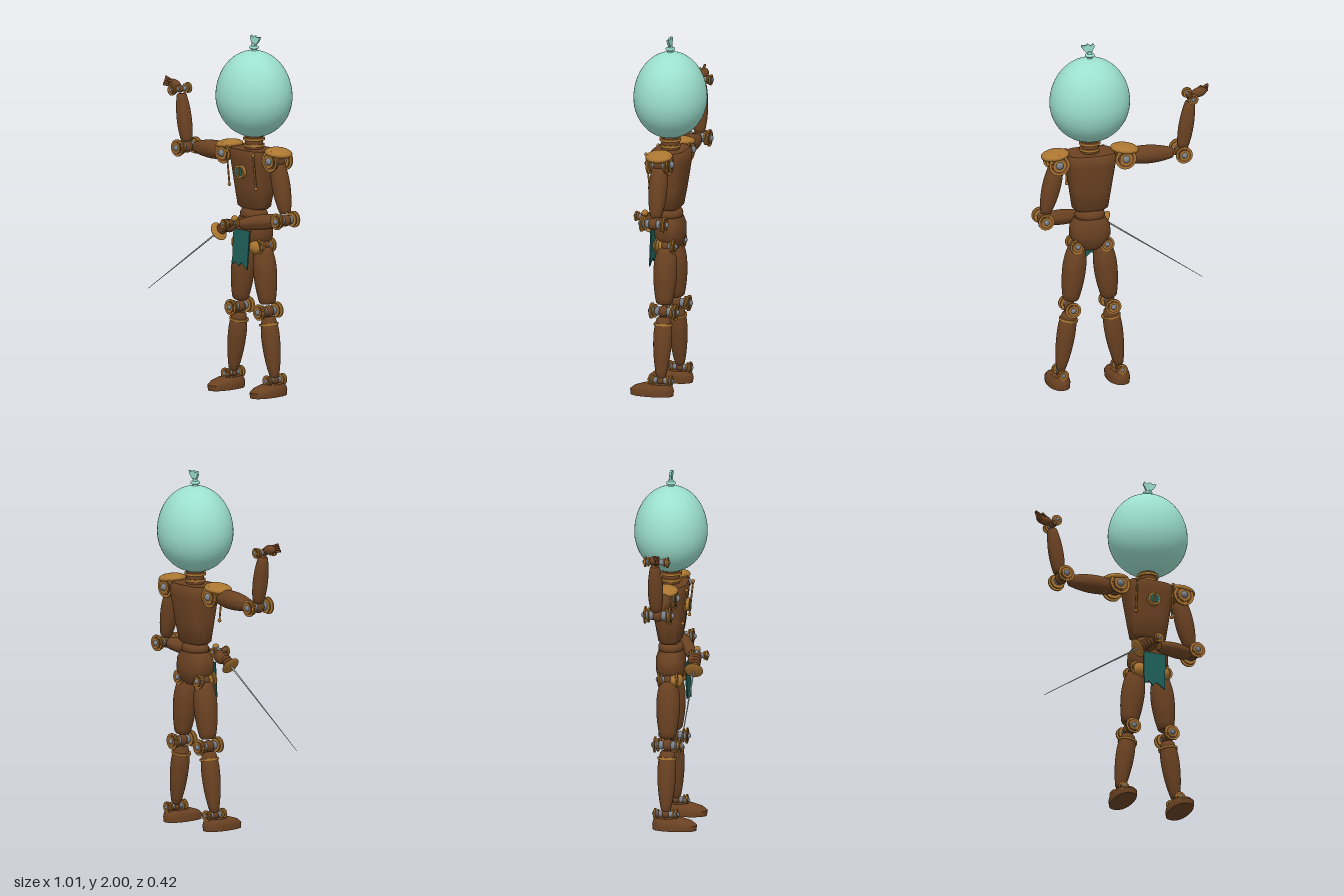
import * as THREE from 'three';
import { toCreasedNormals } from 'three/addons/utils/BufferGeometryUtils.js';

const mat = (name, color) => {
  const m = new THREE.MeshStandardMaterial({ color });
  m.name = name;
  return m;
};
const V = (x, y, z) => new THREE.Vector3(x, y, z);
const UP = V(0, 1, 0);
const CX = 0.19, CZ = -0.01; // body axis

export function createModel() {
  const root = new THREE.Group();
  root.name = 'balloonHeadedPuppet';
  const wood = mat('wood', 0x6b4222), brass = mat('brass', 0xab7631), steel = mat('steel', 0x7b818c);
  const rubber = mat('balloonMint', 0x9ce0ce), cloth = mat('tealCloth', 0x1f5f58), blade = mat('bladeSteel', 0xa9b3b3);
  cloth.side = THREE.DoubleSide;

  const add = (name, geo, material, x = 0, y = 0, z = 0, parent = root) => {
    const m = new THREE.Mesh(geo, material);
    m.name = name;
    m.position.set(x, y, z);
    parent.add(m);
    return m;
  };
  const ball = (name, material, x, y, z, rx, ry = rx, rz = rx) => {
    const m = add(name, new THREE.SphereGeometry(1, 28, 18), material, x, y, z);
    m.scale.set(rx, ry, rz);
    return m;
  };
  // cylinder between two points
  const rod = (name, material, a, b, r0, r1 = r0, parent = root) => {
    const d = b.clone().sub(a), c = a.clone().add(b).multiplyScalar(0.5);
    const m = add(name, new THREE.CylinderGeometry(r1, r0, d.length(), 24), material, c.x, c.y, c.z, parent);
    m.quaternion.setFromUnitVectors(UP, d.normalize());
    return m;
  };
  // swollen wooden limb between two points
  const limb = (name, a, b, r0, rm, r1, peak = 0.4) => {
    const d = b.clone().sub(a), len = d.length(), pts = [new THREE.Vector2(0, 0), new THREE.Vector2(r0 * 0.85, 0)];
    for (let i = 0; i <= 12; i++) {
      const t = 0.03 + 0.94 * i / 12;
      const k = t < peak ? (peak - t) / peak : (t - peak) / (1 - peak);
      pts.push(new THREE.Vector2(rm + ((t < peak ? r0 : r1) - rm) * k * k, t * len));
    }
    pts.push(new THREE.Vector2(r1 * 0.85, len), new THREE.Vector2(0, len));
    const geo = toCreasedNormals(new THREE.LatheGeometry(pts, 28), 0.7);
    add(name, geo, wood, a.x, a.y, a.z).quaternion.setFromUnitVectors(UP, d.normalize());
  };
  // solid through squarish rings: [y, cx, cz, rx, rz]
  const loft = (name, rings, power, material) => {
    const N = 40, pos = [], idx = [], sp = (v) => Math.sign(v) * Math.pow(Math.abs(v), 2 / power);
    rings.forEach(([y, cx, cz, rx, rz]) => {
      for (let i = 0; i < N; i++) {
        const a = i / N * Math.PI * 2;
        pos.push(cx + rx * sp(Math.cos(a)), y, cz + rz * sp(Math.sin(a)));
      }
    });
    const L = rings.length, first = rings[0], last = rings[L - 1], c = L * N;
    pos.push(first[1], first[0], first[2], last[1], last[0], last[2]);
    for (let i = 0; i < N; i++) {
      const j = (i + 1) % N, t = (L - 1) * N;
      for (let k = 0; k < L - 1; k++) {
        const p = k * N, q = p + N;
        idx.push(p + i, q + i, p + j, p + j, q + i, q + j);
      }
      idx.push(c, i, j, c + 1, t + j, t + i);
    }
    const g = new THREE.BufferGeometry();
    g.setAttribute('position', new THREE.Float32BufferAttribute(pos, 3));
    g.setIndex(idx);
    return add(name, toCreasedNormals(g, 0.75), material);
  };
  // pinned hinge with its axle along z
  const joint = (name, x, y, r, reach = 0.07, z = CZ) => {
    const g = new THREE.Group();
    g.name = name;
    g.position.set(x, y, z);
    root.add(g);
    const disc = (part, m, rad, z0, z1) => rod(part, m, V(0, 0, z0), V(0, 0, z1), rad, rad, g);
    disc('axle', steel, r * 0.46, -reach - 0.005, reach + 0.005);
    add('core', new THREE.SphereGeometry(r * 0.72, 20, 14), wood, 0, 0, 0, g);
    for (const s of [-1, 1]) {
      disc('outerPlate', brass, r, s * reach - 0.004, s * reach + 0.004);
      disc('innerPlate', brass, r * 0.85, s * reach * 0.72 - 0.004, s * reach * 0.72 + 0.004);
      disc('washer', wood, r * 0.78, s * (reach + 0.001), s * (reach + 0.006));
      disc('collar', brass, r * 0.6, s * (reach + 0.002), s * (reach + 0.009));
      add('boss', new THREE.SphereGeometry(r * 0.36, 16, 10), steel, 0, 0, s * (reach + 0.006), g);
      add('knuckle', new THREE.SphereGeometry(r * 0.56, 16, 12), steel, 0, 0, s * reach * 0.45, g);
    }
  };

  // balloon head, egg profile
  const egg = [];
  for (let i = 0; i <= 32; i++) {
    const a = -Math.PI / 2 + Math.PI * i / 32;
    egg.push(new THREE.Vector2(Math.max(0, 0.225 * Math.cos(a)), Math.sin(a) * (a < 0 ? 0.228 : 0.257)));
  }
  egg[0].x = egg[32].x = 0;
  add('balloonHead', new THREE.LatheGeometry(egg, 56), rubber, CX, 1.658, CZ).scale.z = 0.9;
  rod('balloonNeck', rubber, V(CX, 1.905, CZ), V(CX, 1.955, CZ), 0.017, 0.012);
  add('balloonKnot', new THREE.TorusGeometry(0.018, 0.009, 10, 24), rubber, CX, 1.932, CZ).rotation.x = Math.PI / 2;
  const tail = new THREE.Shape();
  tail.moveTo(-0.01, 0);
  tail.quadraticCurveTo(-0.02, 0.025, -0.028, 0.038);
  tail.lineTo(-0.02, 0.055); tail.lineTo(-0.006, 0.043);
  tail.lineTo(0.012, 0.056); tail.lineTo(0.026, 0.047); tail.lineTo(0.05, 0.05);
  tail.quadraticCurveTo(0.045, 0.022, 0.01, 0);
  add('balloonTail', new THREE.ExtrudeGeometry(tail, { depth: 0.012, bevelEnabled: false }), rubber, CX, 1.944, CZ - 0.006);

  // neck, torso and pelvis
  rod('neck', wood, V(CX, 1.35, CZ), V(CX, 1.45, CZ), 0.05);
  for (const [y, r] of [[1.385, 0.058], [1.42, 0.06]]) rod('neckCollar', brass, V(CX, y - 0.007, CZ), V(CX, y + 0.007, CZ), r);
  loft('torso', [[1.03, CX, -0.012, 0.082, 0.05], [1.045, CX, -0.012, 0.1, 0.063], [1.15, CX, -0.014, 0.115, 0.08],
    [1.3, CX, -0.016, 0.137, 0.1], [1.345, CX, -0.014, 0.142, 0.102], [1.365, CX, -0.01, 0.134, 0.09]], 3.2, wood);
  ball('waistBall', wood, CX, 1.0, CZ, 0.085, 0.05, 0.07);
  loft('pelvis', [[0.80, CX, CZ, 0.04, 0.045], [0.83, CX, CZ, 0.085, 0.07], [0.88, CX, CZ, 0.115, 0.08],
    [0.94, CX, CZ, 0.112, 0.08], [0.985, CX, CZ, 0.085, 0.066]], 2.6, wood);

  // chest dial and trim
  rod('dialRim', brass, V(0.185, 1.245, 0.06), V(0.185, 1.245, 0.098), 0.037);
  rod('dialFace', cloth, V(0.185, 1.245, 0.09), V(0.185, 1.245, 0.101), 0.027);
  rod('dialNeedle', brass, V(0.185, 1.22, 0.102), V(0.185, 1.27, 0.102), 0.005);
  for (const s of [-1, 1]) {
    rod('chestRod', brass, V(CX + s * 0.108, 1.16, 0.075), V(CX + s * 0.108, 1.35, 0.096), 0.005);
    for (const [y, z] of [[1.16, 0.075], [1.35, 0.096]]) ball('rodStud', brass, CX + s * 0.108, y, z, 0.01);
  }

  // loincloth with a notched hem
  const flap = new THREE.Shape();
  flap.moveTo(-0.065, 0); flap.lineTo(-0.066, -0.2);
  flap.lineTo(-0.038, -0.182); flap.lineTo(-0.012, -0.205);
  flap.lineTo(0.008, -0.182); flap.lineTo(0.058, -0.218); flap.lineTo(0.066, 0);
  const flapMesh = add('loincloth', new THREE.ExtrudeGeometry(flap, { depth: 0.007, bevelEnabled: false }), cloth, CX, 0.918, 0.078);
  flapMesh.rotation.x = -0.05;

  // legs and shoulders, mirrored about the body axis
  for (const s of [-1, 1]) {
    const X = (d) => CX + s * d;
    joint('hipJoint', X(0.085), 0.83, 0.042, 0.05);
    ball('hipCap', brass, X(0.066), 0.825, 0.025, 0.05, 0.045, 0.045);
    limb('thigh', V(X(0.075), 0.82, CZ), V(X(0.111), 0.505, CZ), 0.045, 0.066, 0.043);
    joint('kneeJoint', X(0.116), 0.465, 0.045, 0.07);
    limb('shin', V(X(0.118), 0.435, CZ), V(X(0.168), 0.1, CZ), 0.036, 0.052, 0.025, 0.32);
    rod('shinBand', brass, V(X(0.123), 0.386, CZ), V(X(0.121), 0.398, CZ), 0.054);
    joint('ankleJoint', X(0.17), 0.085, 0.032, 0.06);
    loft('foot', [[0, X(0.172), 0.04, 0.06, 0.122], [0.03, X(0.172), 0.04, 0.062, 0.125],
      [0.05, X(0.172), 0.03, 0.056, 0.11], [0.066, X(0.172), 0.012, 0.042, 0.078]], 2.3, wood);
    joint('shoulderJoint', X(0.192), 1.322, 0.06, 0.058);
    const pad = ball('shoulderPad', brass, X(0.2), 1.365, CZ, 0.08, 0.028, 0.075);
    pad.rotation.z = -s * 0.12;
  }

  // raised arm
  limb('raisedUpperArm', V(-0.03, 1.32, CZ), V(-0.288, 1.312, CZ), 0.04, 0.052, 0.028);
  joint('raisedElbow', -0.34, 1.308, 0.048, 0.07, 0.008);
  limb('raisedForearm', V(-0.348, 1.335, 0), V(-0.392, 1.6, 0), 0.03, 0.042, 0.026, 0.45);
  joint('raisedWrist', -0.394, 1.625, 0.03, 0.062, 0.01);
  const palm = ball('raisedPalm', wood, -0.443, 1.645, 0.005, 0.046, 0.027, 0.025);
  palm.rotation.z = -0.2;
  for (let i = 0; i < 4; i++) {
    rod('raisedFinger', wood, V(-0.455, 1.636 + i * 0.009, 0.012), V(-0.5, 1.642 + i * 0.013, 0.036 - i * 0.006), 0.008, 0.007);
  }
  rod('raisedThumb', wood, V(-0.43, 1.655, 0.01), V(-0.465, 1.668, 0.035), 0.009, 0.007);

  // sword arm
  limb('swordUpperArm', V(0.383, 1.3, CZ), V(0.447, 1.03, CZ), 0.04, 0.052, 0.03);
  joint('swordElbow', 0.457, 0.995, 0.046, 0.066, 0);
  limb('swordForearm', V(0.435, 0.993, 0), V(0.205, 0.955, 0.105), 0.03, 0.043, 0.027, 0.4);
  joint('swordWrist', 0.17, 0.962, 0.028, 0.045, 0.15);
  ball('swordPalm', wood, 0.14, 0.94, 0.125, 0.045, 0.036, 0.03).rotation.z = 0.5;

  // sword, with four fingers wrapped around its grip
  const tip = V(-0.505, 0.505, 0.148), guard = V(0.065, 0.9, 0.14), dir = guard.clone().sub(tip).normalize();
  const along = (d) => guard.clone().addScaledVector(dir, d);
  rod('swordBlade', blade, tip, guard, 0.0012, 0.005);
  rod('swordGrip', steel, guard, along(0.15), 0.012);
  ball('swordPommel', brass, ...along(0.155).toArray(), 0.018);
  const cup = ball('swordGuard', brass, guard.x, guard.y, guard.z, 0.055, 0.011, 0.052);
  cup.quaternion.setFromUnitVectors(UP, dir);
  for (let i = 0; i < 4; i++) {
    const p = along(0.03 + i * 0.02);
    const f = add('swordFinger', new THREE.TorusGeometry(0.021, 0.01, 10, 20), wood, p.x, p.y, p.z);
    f.quaternion.setFromUnitVectors(V(0, 0, 1), dir);
  }
  return root;
}
